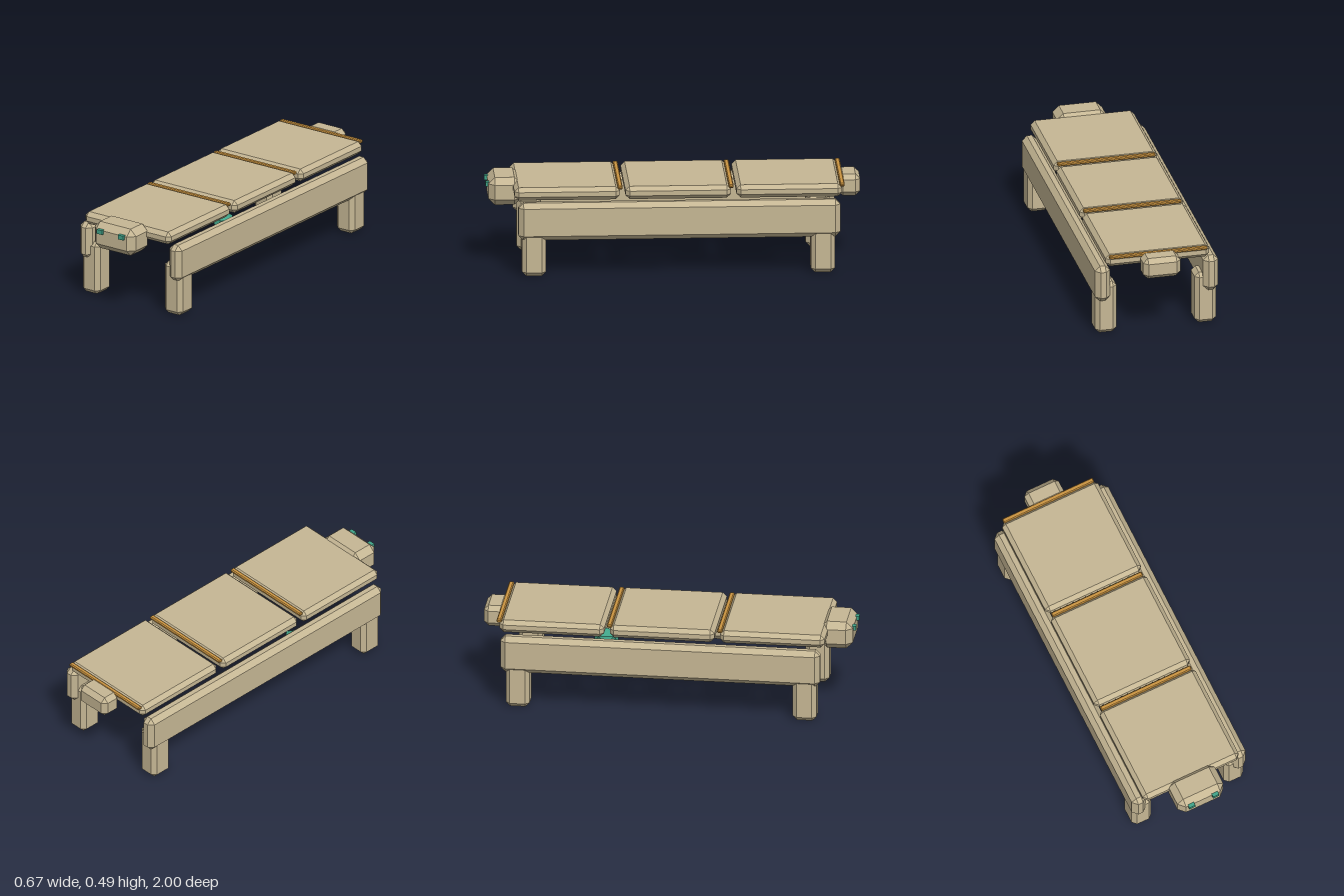
import * as THREE from 'three';
import { ConvexGeometry } from 'three/addons/geometries/ConvexGeometry.js';

// Box with chamfered edges and corners, given by its extents
function chamferBox(x0, x1, y0, y1, z0, z1, c) {
  const half = new THREE.Vector3(x1 - x0, y1 - y0, z1 - z0).multiplyScalar(0.5);
  const points = [];
  for (const sx of [-1, 1]) for (const sy of [-1, 1]) for (const sz of [-1, 1]) {
    for (let axis = 0; axis < 3; axis++) {
      const inset = [c, c, c];
      inset[axis] = 0;
      points.push(new THREE.Vector3(
        sx * (half.x - inset[0]), sy * (half.y - inset[1]), sz * (half.z - inset[2])));
    }
  }
  return new ConvexGeometry(points).translate((x0 + x1) / 2, (y0 + y1) / 2, (z0 + z1) / 2);
}

export function createModel() {
  const stone = new THREE.MeshStandardMaterial({ name: 'sandstone', color: 0xc6b794 });
  const gold = new THREE.MeshStandardMaterial({ name: 'gold', color: 0xcb9440 });
  const jade = new THREE.MeshStandardMaterial({ name: 'jade', color: 0x40a388 });

  const model = new THREE.Group();
  model.name = 'segmentedCreature';
  const add = (name, geometry, material) => {
    const mesh = new THREE.Mesh(geometry, material);
    mesh.name = name;
    model.add(mesh);
    return mesh;
  };

  // Head and tail
  add('head', chamferBox(-0.136, 0.136, 0.34, 0.491, 0.81, 0.984, 0.035), stone);
  add('tail', chamferBox(-0.102, 0.102, 0.36, 0.477, -1, -0.883, 0.025), stone);

  // Back slabs, each with a gold band along its rear edge
  [0.572, -0.02, -0.612].forEach((z, i) => {
    add('backSlab' + (i + 1), chamferBox(-0.284, 0.284, 0.405, 0.475, z - 0.281, z + 0.281, 0.022), stone);
    const b = z - 0.283;
    add('goldBand' + (i + 1), chamferBox(-0.268, 0.268, 0.459, 0.477, b - 0.013, b + 0.013, 0.005), gold);
  });

  // Side rails, legs and eyes, mirrored
  for (const [side, s] of [['left', 1], ['right', -1]]) {
    const mirrored = (x0, x1, ...rest) =>
      s > 0 ? chamferBox(x0, x1, ...rest) : chamferBox(-x1, -x0, ...rest);
    add(side + 'Rail', mirrored(0.255, 0.337, 0.197, 0.402, -0.882, 0.834, 0.027), stone);
    add(side + 'FrontLeg', mirrored(0.214, 0.331, 0, 0.295, 0.687, 0.815, 0.023), stone);
    add(side + 'BackLeg', mirrored(0.214, 0.331, 0, 0.295, -0.853, -0.725, 0.023), stone);
    const eye = add(side + 'Eye', new THREE.BoxGeometry(0.035, 0.024, 0.03), jade);
    eye.position.set(s * 0.07, 0.45, 0.983);
  }

  // Flattened gems hanging beneath, one vertex pointing up
  const up = -Math.atan((1 + Math.sqrt(5)) / 2);
  [[-0.178, 0.335, 0.074], [0, -0.02, 0.068], [0.177, -0.375, 0.075]].forEach(([x, z, r], i) => {
    const geometry = new THREE.IcosahedronGeometry(r, 0).rotateX(up)
      .rotateY(Math.PI / 2 + 0.1).scale(1, 0.62, 1);
    geometry.computeVertexNormals();
    add('gem' + (i + 1), geometry, jade).position.set(x, 0.225, z);
  });

  return model;
}
